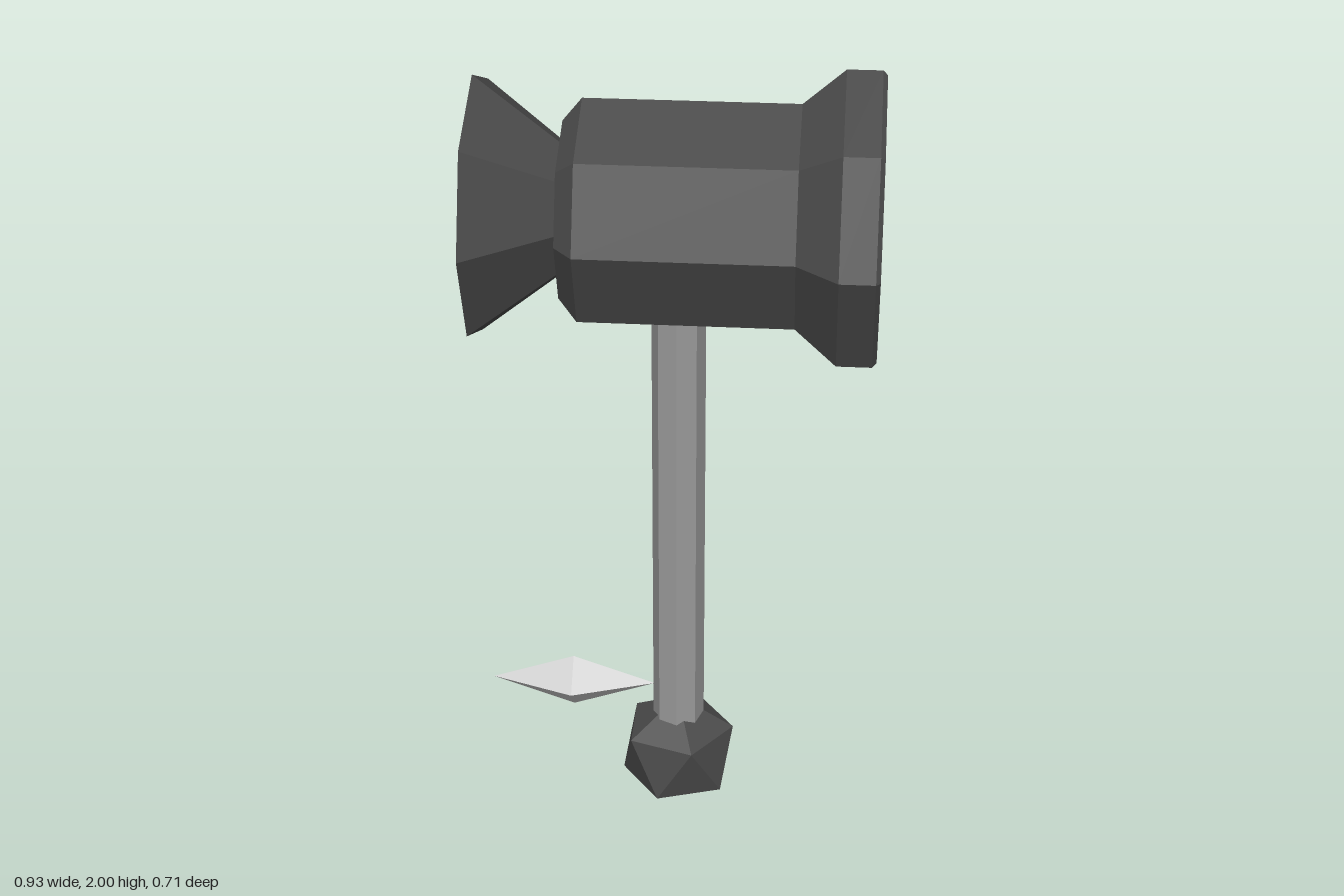
import * as THREE from 'three';
import { ConvexGeometry } from 'three/addons/geometries/ConvexGeometry.js';

const material = (color) => new THREE.MeshStandardMaterial({ color, flatShading: true });

export function createModel() {
  const model = new THREE.Group();
  const dark = material(0x4a4a4a);

  const add = (name, geometry, mat, x, y) => {
    const mesh = new THREE.Mesh(geometry, mat);
    mesh.name = name;
    mesh.position.set(x, y, 0);
    model.add(mesh);
    return mesh;
  };

  // Octagonal turned shape along the x axis, from [x, radius] pairs
  const turned = (profile) =>
    new THREE.LatheGeometry(profile.map(([x, r]) => new THREE.Vector2(r, x)), 8).rotateZ(-Math.PI / 2);

  // Hammer head: bevelled barrel flaring into the striking face
  add('head', turned([
    [-0.255, 0], [-0.255, 0.215], [-0.21, 0.27], [0.28, 0.27],
    [0.375, 0.353], [0.455, 0.353], [0.465, 0.342], [0.465, 0],
  ]), dark, 0, 1.648);

  // Hollow bell at the rear, with a flat rim
  add('bell', turned([
    [-0.27, 0], [-0.27, 0.11], [-0.455, 0.22], [-0.455, 0.315], [-0.255, 0.155],
  ]), dark, 0, 1.65);

  // Octagonal handle
  add('handle', new THREE.CylinderGeometry(0.064, 0.064, 1.25, 8), material(0x999999), 0.006, 0.825);

  // Pommel: icosahedron standing on one corner
  const r = 0.157, ring = 0.14, h = 0.07;
  const corners = [new THREE.Vector3(0, r, 0), new THREE.Vector3(0, -r, 0)];
  for (let i = 0; i < 5; i++) {
    const a = (i / 5) * Math.PI * 2;
    corners.push(new THREE.Vector3(ring * Math.cos(a), h, ring * Math.sin(a)));
    corners.push(new THREE.Vector3(-ring * Math.cos(a), -h, -ring * Math.sin(a)));
  }
  add('pommel', new ConvexGeometry(corners), dark, 0.005, r);

  // Floating crystal beside the handle
  const crystal = add('crystal', new THREE.OctahedronGeometry(1), material(0xcccccc), -0.26, 0.35);
  crystal.scale.set(0.205, 0.072, 0.072);

  return model;
}
